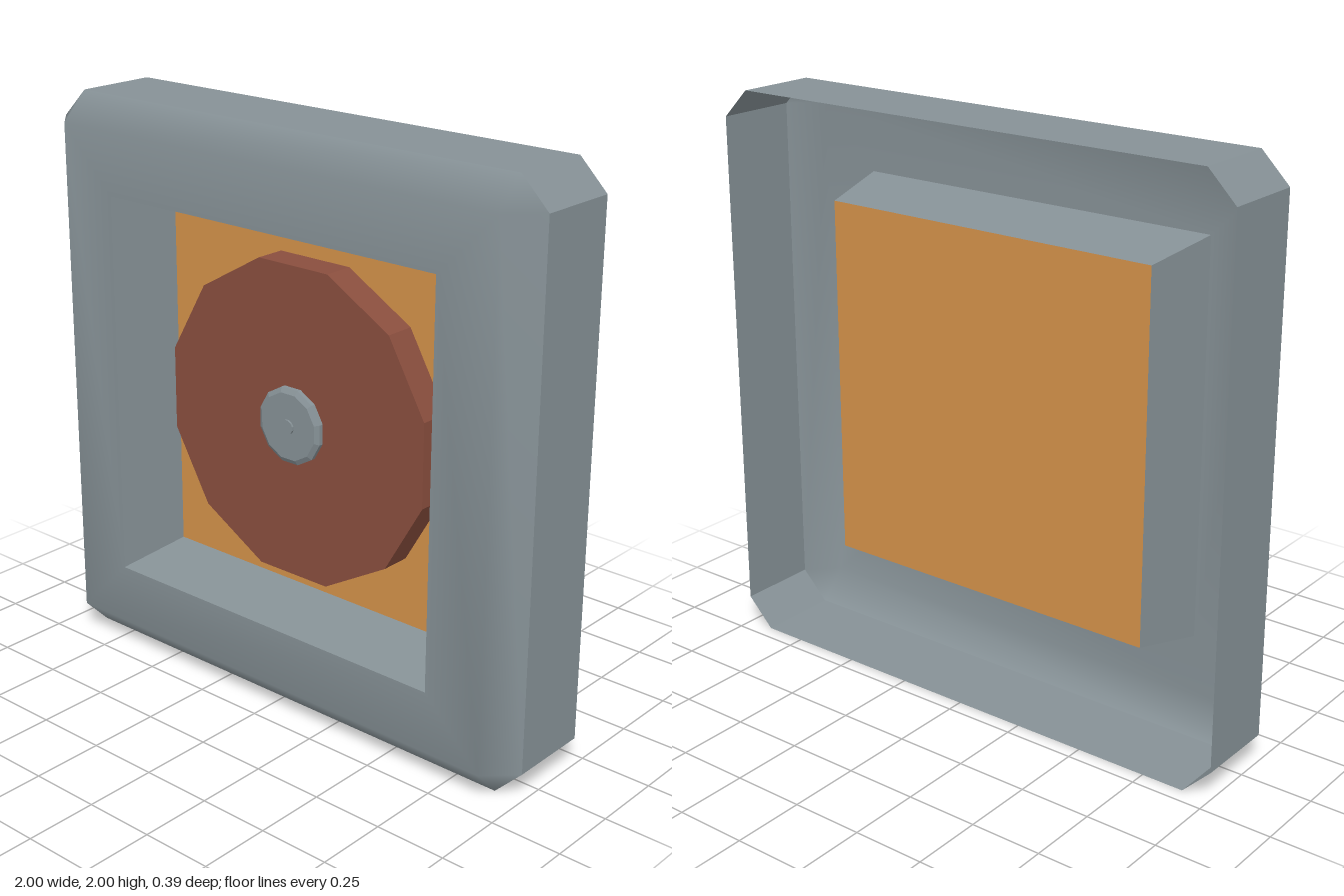
import * as THREE from 'three';
import { mergeVertices } from 'three/addons/utils/BufferGeometryUtils.js';

const casing = new THREE.MeshStandardMaterial({ color: 0x869196, side: THREE.DoubleSide });
casing.name = 'grey casing';
const backing = new THREE.MeshStandardMaterial({ color: 0xd4924a, side: THREE.DoubleSide });
backing.name = 'orange backing';
const rotor = new THREE.MeshStandardMaterial({ color: 0x8a4e3e, flatShading: true });
rotor.name = 'brown rotor';
const metal = new THREE.MeshStandardMaterial({ color: 0x869196, flatShading: true });
metal.name = 'grey hub';

// Square ring of half width w; c < w cuts the corners
function ring(w, c, z) {
  return [[w, -c], [w, c], [c, w], [-c, w], [-w, c], [-w, -c], [-c, -w], [c, -w]]
    .map(([x, y]) => [x, y, z]);
}

// Skin joining consecutive rings, either smooth or faceted
function skin(rings, smooth) {
  const pos = [];
  for (let r = 0; r < rings.length - 1; r++) {
    const a = rings[r], b = rings[r + 1];
    for (let i = 0; i < 8; i++) {
      const j = (i + 1) % 8;
      pos.push(...a[i], ...a[j], ...b[j], ...a[i], ...b[j], ...b[i]);
    }
  }
  let g = new THREE.BufferGeometry();
  g.setAttribute('position', new THREE.Float32BufferAttribute(pos, 3));
  if (smooth) g = mergeVertices(g);
  g.computeVertexNormals();
  return g;
}

export function createModel() {
  const group = new THREE.Group();
  const add = (name, geometry, material, z = 0) => {
    const mesh = new THREE.Mesh(geometry, material);
    mesh.name = name;
    mesh.position.set(0, 1, z);
    group.add(mesh);
    return mesh;
  };

  // Open-backed housing with softly shaded bevel and front
  const rim = ring(1, 0.9, 0.098);
  const opening = ring(0.685, 0.685, 0.195);
  add('outerWalls', skin([ring(1, 0.9, -0.195), rim]), casing);
  add('frontFrame', skin([rim, ring(0.9, 0.9, 0.195), opening], true), casing);

  // Tapered recess and its back panel
  add('recessWalls', skin([opening, ring(0.638, 0.638, -0.06)]), casing);
  add('backPanel', new THREE.PlaneGeometry(1.276, 1.276), backing, -0.06);

  // Twelve-sided discs facing front, flat sides up and down
  const disc = (name, front, back, rFront, rBack, material) => {
    const g = new THREE.CylinderGeometry(rFront, rBack, front - back, 12);
    g.rotateY(Math.PI / 12).rotateX(Math.PI / 2);
    return add(name, g, material, (front + back) / 2);
  };
  disc('fanDisc', 0.05, -0.058, 0.564, 0.564, rotor);
  disc('hubBase', 0.065, 0.045, 0.135, 0.135, metal);
  disc('hubCap', 0.075, 0.065, 0.118, 0.135, metal);
  disc('hubPin', 0.082, 0.07, 0.026, 0.026, metal);

  return group;
}
